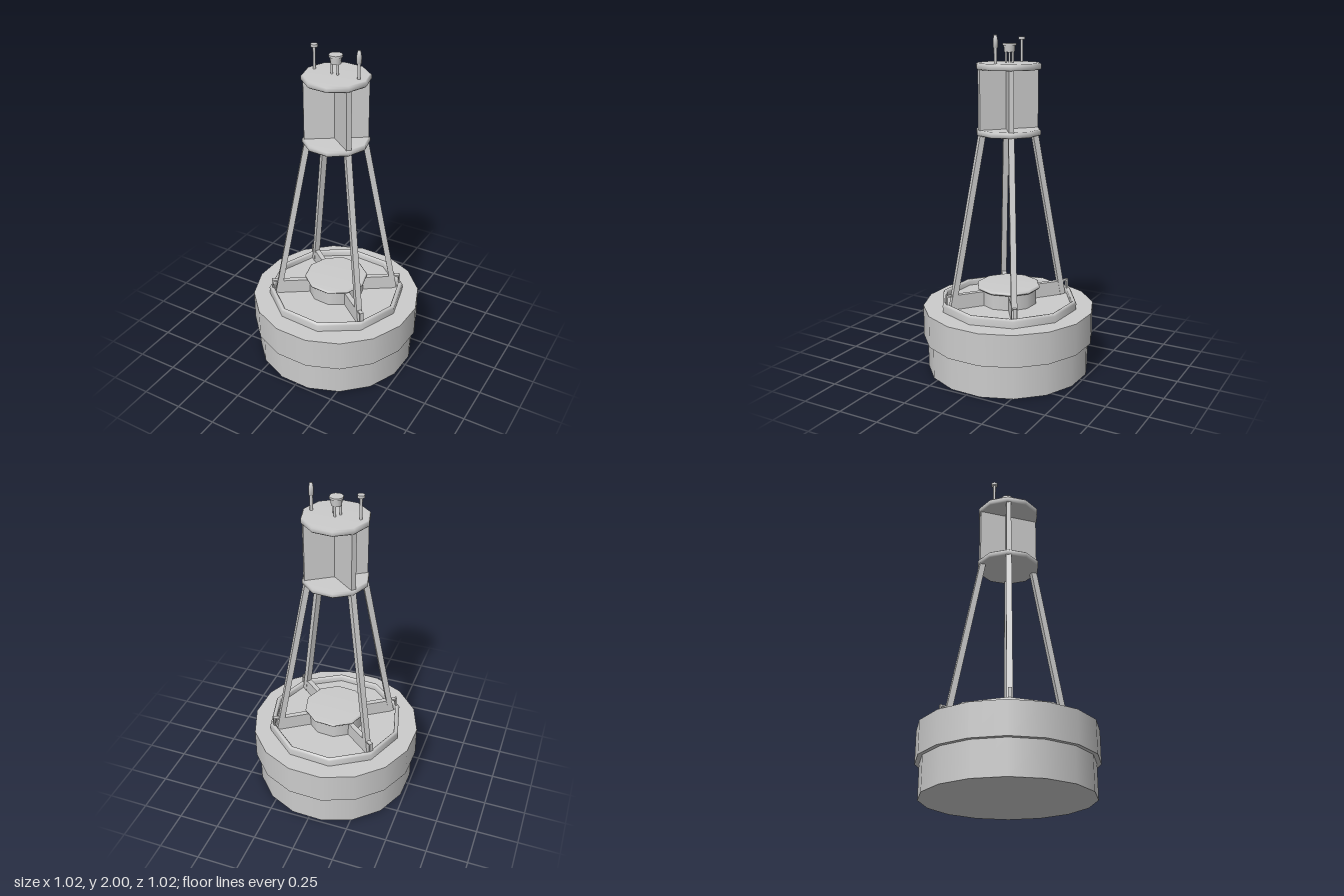
import * as THREE from 'three';

const RAD = Math.PI / 180;

export function createModel() {
  const root = new THREE.Group();
  const grey = new THREE.MeshStandardMaterial({ color: 0xcccccc, side: THREE.DoubleSide });

  const add = (parent, name, geo, x = 0, y = 0, z = 0) => {
    const m = new THREE.Mesh(geo, grey);
    m.name = name;
    m.position.set(x, y, z);
    parent.add(m);
    return m;
  };
  // Turned part with a corner at the given angle, measured from +x towards +z
  const turned = (points, sides, cornerDeg) =>
    new THREE.LatheGeometry(points.map(([r, y]) => new THREE.Vector2(r, y)), sides, (90 - cornerDeg) * RAD);
  const drum = (r, h, sides, cornerDeg) =>
    new THREE.CylinderGeometry(r, r, h, sides, 1, false, (90 - cornerDeg) * RAD);
  // Ten-sided disc with softened rim
  const plate = (r, y0, y1) => {
    const b = 0.008;
    return turned([[0, y0], [r - b, y0], [r, y0 + b], [r, y1 - b], [r - b, y1], [0, y1]], 10, 3.7);
  };

  // Float: two stacked sixteen-sided drums
  add(root, 'lowerHull', drum(0.492, 0.2, 16, 12.85), 0, 0.1, 0);
  add(root, 'upperHull', drum(0.517, 0.192, 16, 12.85), 0, 0.296, 0);

  // Raised deck rim with recessed floor
  add(root, 'deckRim', turned([
    [0.418, 0.385], [0.418, 0.43], [0.41, 0.443], [0.398, 0.443], [0.39, 0.433], [0.39, 0.405],
  ], 10, 3.7));
  add(root, 'deckFloor', drum(0.392, 0.02, 10, 3.7), 0, 0.397, 0);

  // Central hatch
  add(root, 'hatchBody', drum(0.172, 0.1, 10, 3.7), 0, 0.453, 0);
  add(root, 'hatchCover', plate(0.193, 0.5, 0.523));

  // Tower
  const tower = new THREE.Group();
  tower.name = 'tower';
  tower.rotation.y = -2 * RAD;
  root.add(tower);

  const foot = new THREE.Vector2(0.362, 0.41);
  const head = new THREE.Vector2(0.165, 1.44);
  const legLength = foot.distanceTo(head);
  const lean = Math.atan2(foot.x - head.x, head.y - foot.y);

  for (const deg of [36, 144, 216, 324]) {
    // Local +x points outwards
    const arm = new THREE.Group();
    arm.name = 'towerArm';
    arm.rotation.y = -deg * RAD;
    tower.add(arm);

    const leg = add(arm, 'leg', new THREE.BoxGeometry(0.034, legLength, 0.034),
      (foot.x + head.x) / 2, (foot.y + head.y) / 2, 0);
    leg.rotation.z = lean;

    add(arm, 'deckGusset', new THREE.BoxGeometry(0.21, 0.09, 0.03), 0.255, 0.45, 0);
    add(arm, 'reflectorFin', new THREE.BoxGeometry(0.183, 0.36, 0.03), 0.0915, 1.635, 0);

    // Small lifting lug outside the leg foot
    add(arm, 'lugPost', new THREE.BoxGeometry(0.009, 0.065, 0.022), 0.396, 0.468, 0);
    add(arm, 'lugBar', new THREE.BoxGeometry(0.05, 0.009, 0.022), 0.374, 0.492, 0);
  }

  // Plates above and below the reflector
  add(root, 'lowerPlate', plate(0.193, 1.43, 1.465));
  add(root, 'upperPlate', plate(0.193, 1.805, 1.842));

  // Lamp on three short posts
  const lamp = new THREE.Group();
  lamp.name = 'lamp';
  lamp.position.set(-0.005, 0, -0.003);
  tower.add(lamp);
  for (let i = 0; i < 3; i++) {
    const a = (i / 3) * Math.PI * 2 + Math.PI / 6;
    add(lamp, 'lampPost', new THREE.CylinderGeometry(0.007, 0.007, 0.075, 8),
      Math.cos(a) * 0.022, 1.873, Math.sin(a) * 0.022);
  }
  add(lamp, 'lampBody', new THREE.CylinderGeometry(0.033, 0.03, 0.04, 12), 0, 1.921, 0);
  add(lamp, 'lampCap', new THREE.CylinderGeometry(0.039, 0.039, 0.012, 12), 0, 1.945, 0);

  // Sensor mast with flat head
  add(tower, 'sensorMast', new THREE.CylinderGeometry(0.008, 0.008, 0.135, 10), -0.144, 1.903, -0.004);
  add(tower, 'sensorHead', new THREE.CylinderGeometry(0.02, 0.02, 0.016, 12), -0.144, 1.976, -0.004);

  // Antenna with tapered tip
  add(tower, 'antennaMast', new THREE.CylinderGeometry(0.009, 0.009, 0.1, 10), 0.142, 1.885, 0);
  add(tower, 'antennaTip', turned([
    [0, 1.93], [0.014, 1.93], [0.014, 1.972], [0.009, 2.0], [0, 2.0],
  ], 10, 0), 0.142, 0, 0);

  return root;
}
